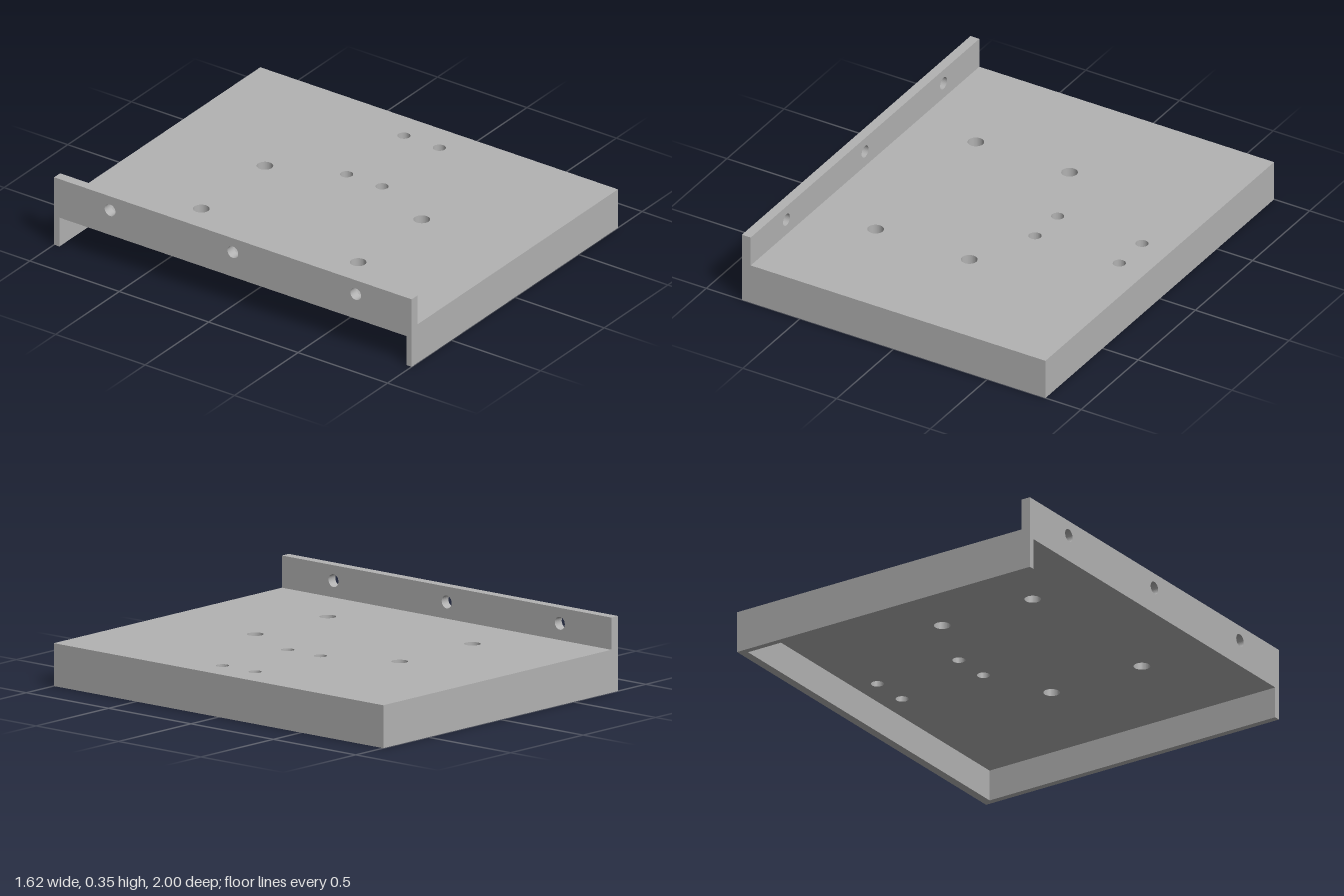
import * as THREE from 'three';

const X0 = -0.81, X1 = 0.81, Z = 1;   // outer footprint
const PLATE_Y = 0.15, TOP_Y = 0.2, FLANGE_Y = 0.35;
const FLANGE_T = 0.047, SIDE_T = 0.03, END_T = 0.04;

// Closed outline from corner points, pierced by round holes [x, y, radius]
function outline(points, holes = []) {
  const shape = new THREE.Shape(points.map(([x, y]) => new THREE.Vector2(x, y)));
  for (const [x, y, r] of holes) {
    shape.holes.push(new THREE.Path().absarc(x, y, r, 0, Math.PI * 2, true));
  }
  return shape;
}

const rect = (a, b, c, d) => [[a, b], [c, b], [c, d], [a, d]];

const extrude = (shape, depth) =>
  new THREE.ExtrudeGeometry(shape, { depth, bevelEnabled: false, curveSegments: 32 });

export function createModel() {
  const model = new THREE.Group();
  model.name = 'mountingTray';
  const grey = new THREE.MeshStandardMaterial({ color: 0xb2b2b2 });
  grey.name = 'plain grey';

  const add = (name, geometry) => {
    const mesh = new THREE.Mesh(geometry, grey);
    mesh.name = name;
    model.add(mesh);
  };

  // Top plate with four large and four small holes (shape y = -z)
  const plateHoles = [];
  for (const x of [-0.44, 0.06]) for (const z of [-0.44, 0.437]) plateHoles.push([x, -z, 0.038]);
  for (const x of [0.21, 0.66]) for (const z of [-0.09, 0.108]) plateHoles.push([x, -z, 0.03]);
  add('topPlate', extrude(outline(rect(X0 + FLANGE_T, -Z, X1, Z), plateHoles), TOP_Y - PLATE_Y)
    .rotateX(-Math.PI / 2).translate(0, PLATE_Y, 0));

  // Skirt hanging below the plate on three sides, open under the flange
  const inner = Z - SIDE_T;
  add('skirt', extrude(outline([
    [X0, -Z], [X1, -Z], [X1, Z], [X0, Z],
    [X0, inner], [X1 - END_T, inner], [X1 - END_T, -inner], [X0, -inner],
  ]), PLATE_Y).rotateX(-Math.PI / 2));

  // Upright flange with three screw holes (shape x = -z)
  const flangeHoles = [-0.687, 0, 0.687].map((z) => [z, 0.278, 0.03]);
  add('flange', extrude(outline(rect(-Z, PLATE_Y, Z, FLANGE_Y), flangeHoles), FLANGE_T)
    .rotateY(Math.PI / 2).translate(X0, 0, 0));

  return model;
}
